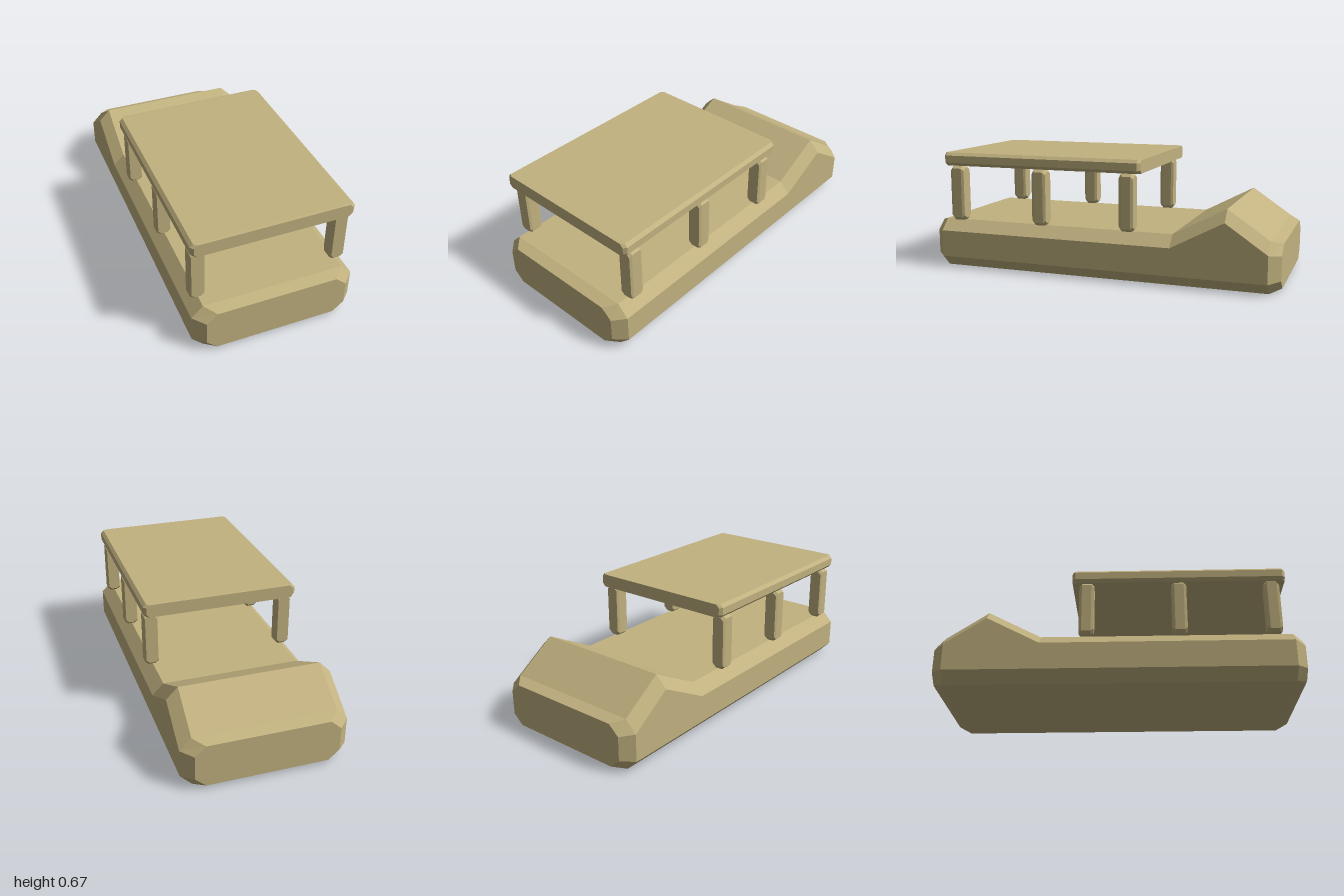
import * as THREE from 'three';

const material = new THREE.MeshStandardMaterial({ color: 0xc2b280, flatShading: true });

// Octagonal cross-section, counter-clockwise as seen from +z
function octagon(z, halfWidth, bottom, top, cutX, cutY) {
  const w = halfWidth, n = halfWidth - cutX;
  return [
    [n, bottom], [w, bottom + cutY], [w, top - cutY], [n, top],
    [-n, top], [-w, top - cutY], [-w, bottom + cutY], [-n, bottom],
  ].map(([x, y]) => new THREE.Vector3(x, y, z));
}

// Skin sections listed from front to back and close both ends
function loft(name, sections) {
  const positions = [];
  const tri = (...points) => points.forEach((p) => positions.push(p.x, p.y, p.z));
  for (let s = 0; s < sections.length - 1; s++) {
    const a = sections[s], b = sections[s + 1];
    for (let i = 0; i < 8; i++) {
      const j = (i + 1) % 8;
      tri(a[i], b[i], b[j]);
      tri(a[i], b[j], a[j]);
    }
  }
  const front = sections[0], back = sections[sections.length - 1];
  for (let i = 1; i < 7; i++) {
    tri(front[0], front[i], front[i + 1]);
    tri(back[0], back[i + 1], back[i]);
  }
  const geometry = new THREE.BufferGeometry();
  geometry.setAttribute('position', new THREE.Float32BufferAttribute(positions, 3));
  geometry.computeVertexNormals();
  const mesh = new THREE.Mesh(geometry, material);
  mesh.name = name;
  return mesh;
}

// Chamfered block whose end faces are inset
function block(name, { halfWidth, bottom, top, front, back, cutX, cutY, insetX, insetY, bevel }) {
  const end = (z) => octagon(z, halfWidth - insetX, bottom + insetY, top - insetY, cutX, cutY);
  const full = (z) => octagon(z, halfWidth, bottom, top, cutX, cutY);
  return loft(name, [end(front), full(front - bevel), full(back + bevel), end(back)]);
}

export function createModel() {
  const model = new THREE.Group();
  model.name = 'canopyBarge';

  // Hull: flat deck rising to a ridge near the back
  const hullSection = (z, top) => octagon(z, 0.447, 0, top, 0.062, 0.063);
  const hullEnd = (z) => octagon(z, 0.387, 0.021, 0.257, 0.058, 0.052);
  model.add(loft('hull', [
    hullEnd(1),
    hullSection(0.94, 0.277),
    hullSection(-0.425, 0.277),
    hullSection(-0.715, 0.43),
    hullSection(-0.94, 0.277),
    hullEnd(-1),
  ]));

  // Canopy roof
  model.add(block('canopy', {
    halfWidth: 0.437, bottom: 0.592, top: 0.667, front: 0.92, back: -0.257,
    cutX: 0.017, cutY: 0.017, insetX: 0.016, insetY: 0.001, bevel: 0.016,
  }));

  // Three pairs of posts
  for (const side of [-1, 1]) {
    for (const z of [0.843, 0.333, -0.177]) {
      const post = block('post', {
        halfWidth: 0.039, bottom: 0.277, top: 0.592, front: 0.041, back: -0.041,
        cutX: 0.019, cutY: 0.016, insetX: 0.005, insetY: 0.014, bevel: 0.015,
      });
      post.position.set(side * 0.389, 0, z);
      model.add(post);
    }
  }
  return model;
}
